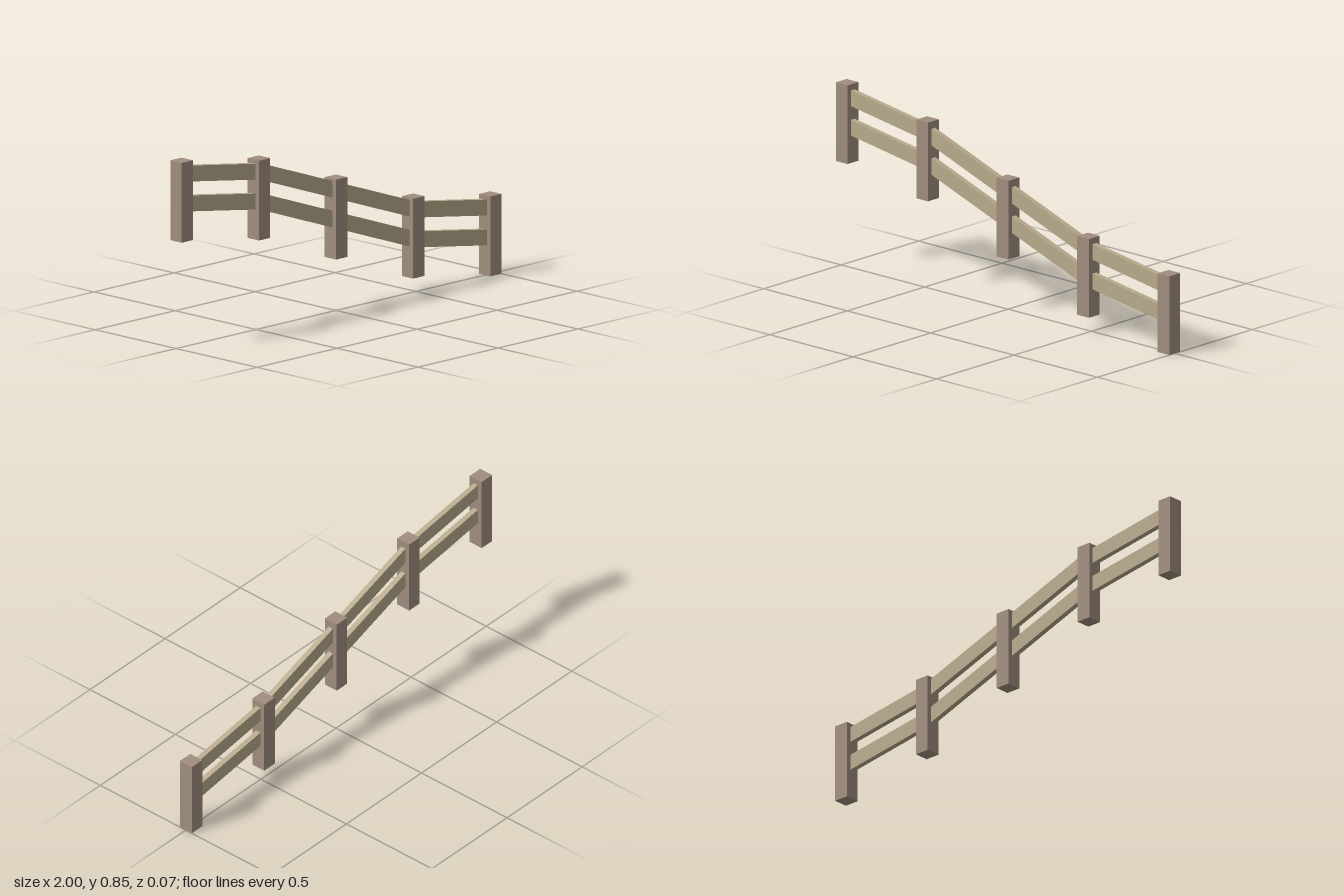
import * as THREE from 'three';

export function createModel() {
  const group = new THREE.Group();
  const postMaterial = new THREE.MeshStandardMaterial({ color: 0xa08e7e });
  const railMaterial = new THREE.MeshStandardMaterial({ color: 0xb9ab8d });

  const postHeight = 0.361;
  const postWidth = 0.07;
  const spacing = 0.4825;
  const postBases = [0.484, 0.411, 0.242, 0.073, 0]; // descending the slope
  const railHeights = [0.302, 0.167]; // rail centres above each post base

  const addBox = (name, size, x, y, material, angle = 0) => {
    const mesh = new THREE.Mesh(new THREE.BoxGeometry(...size), material);
    mesh.name = name;
    mesh.position.set(x, y, 0);
    mesh.rotation.z = angle;
    group.add(mesh);
  };

  postBases.forEach((base, i) => {
    const x = (i - 2) * spacing;
    addBox(`post${i + 1}`, [postWidth, postHeight, postWidth], x, base + postHeight / 2, postMaterial);

    // Pair of sloping rails running to the next post
    if (i === postBases.length - 1) return;
    const drop = postBases[i + 1] - base;
    const length = Math.hypot(spacing, drop);
    railHeights.forEach((height, j) => {
      addBox(`${j ? 'lower' : 'upper'}Rail${i + 1}`, [length, 0.071, 0.025],
        x + spacing / 2, base + drop / 2 + height, railMaterial, Math.atan2(drop, spacing));
    });
  });

  return group;
}
